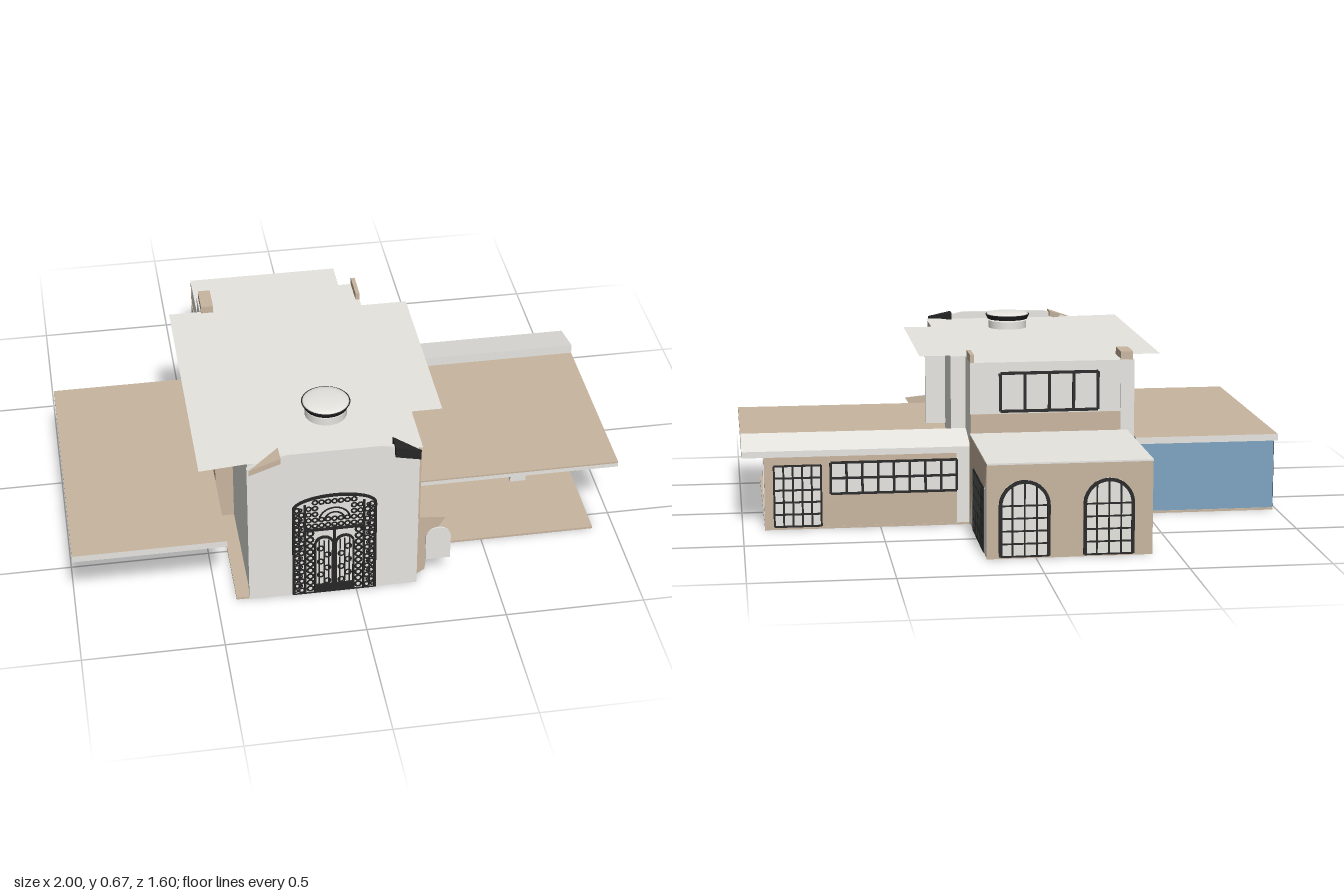
import * as THREE from 'three';

const mat = (name, color, side = THREE.FrontSide) => {
  const m = new THREE.MeshStandardMaterial({ color, side });
  m.name = name;
  return m;
};

export function createModel() {
  const white = mat('plaster white', 0xe6e5e0, THREE.DoubleSide);
  const tan = mat('stone tan', 0xc8b59f, THREE.DoubleSide);
  const dark = mat('iron black', 0x262626);
  const blue = mat('blue wall', 0x7ca4c0);
  const house = new THREE.Group();
  house.name = 'house';

  const add = (parent, name, geo, material, x = 0, y = 0, z = 0) => {
    const m = new THREE.Mesh(geo, material);
    m.name = name;
    m.position.set(x, y, z);
    parent.add(m);
    return m;
  };
  // box given by its extents
  const box = (name, material, x0, x1, y0, y1, z0, z1, parent = house) =>
    add(parent, name, new THREE.BoxGeometry(x1 - x0, y1 - y0, z1 - z0), material,
      (x0 + x1) / 2, (y0 + y1) / 2, (z0 + z1) / 2);
  const poly = pts => new THREE.Shape(pts.map(p => new THREE.Vector2(...p)));
  const plate = (shape, depth) =>
    new THREE.ExtrudeGeometry(shape, { depth, bevelEnabled: false, curveSegments: 14 });
  const place = (name, x, y, z, turn) => {
    const g = new THREE.Group();
    g.name = name;
    g.position.set(x, y, z);
    g.rotation.y = turn;
    house.add(g);
    return g;
  };
  const bars = (g, w, h, cols, rows, t) => {
    for (let i = 0; i <= cols; i++) {
      const x = -w / 2 + w * i / cols;
      box('upright', dark, x - t / 2, x + t / 2, 0, h, 0.003, 0.007, g);
    }
    for (let j = 0; j <= rows; j++) {
      const y = h * j / rows;
      box('crossbar', dark, -w / 2, w / 2, y - t / 2, y + t / 2, 0.003, 0.0065, g);
    }
  };
  // framed window, its outside facing local +z
  const gridWindow = (name, x, y, z, turn, w, h, cols, rows, t = 0.007) => {
    const g = place(name, x, y, z, turn);
    box('pane', white, -w / 2, w / 2, 0, h, 0, 0.004, g);
    bars(g, w, h, cols, rows, t);
  };
  const archShape = (w, h, rise, C = THREE.Shape) => {
    const s = new C();
    s.moveTo(-w / 2, 0);
    s.lineTo(w / 2, 0);
    s.lineTo(w / 2, h);
    s.absellipse(0, h, w / 2, rise, 0, Math.PI, false);
    s.lineTo(-w / 2, 0);
    return s;
  };
  const archFrame = (g, w, h, rise, t) => {
    const s = archShape(w, h, rise);
    s.holes.push(archShape(w - 2 * t, h, rise - t, THREE.Path));
    add(g, 'arched frame', plate(s, 0.008), dark);
  };

  // floors
  box('mainFloor', tan, -0.43, 0.22, 0, 0.008, -0.28, 0.77);
  box('leftFloor', tan, 0.22, 0.92, 0, 0.008, -0.28, 0.58);
  box('rightFloor', tan, -0.985, -0.43, 0, 0.008, -0.2, 0.24);
  box('rightTerrace', tan, -0.89, -0.43, 0, 0.008, 0.24, 0.37);
  box('rearFloor', tan, -0.41, 0.17, 0, 0.008, -0.79, -0.28);
  // tiled hall floor
  box('hallTiles', white, 0.06, 0.24, 0.008, 0.01, 0.29, 0.57);
  for (let i = 0; i < 3; i++)
    for (let j = 0; j < 4; j++)
      box('darkTile', dark, 0.09 + i * 0.055, 0.107 + i * 0.055, 0.009, 0.0115, 0.32 + j * 0.065, 0.337 + j * 0.065);

  // main hall, two storeys
  box('hallRear', white, -0.385, 0.22, 0.008, 0.29, -0.28, 0.23);
  box('hallFront', white, -0.38, 0.06, 0.008, 0.29, 0.23, 0.76);
  box('hallSideWall', white, 0.2, 0.22, 0.008, 0.29, 0.67, 0.765);
  box('stairBlock', white, 0.06, 0.12, 0.008, 0.09, 0.33, 0.58);
  box('stairBlockUpper', white, 0.06, 0.1, 0.09, 0.19, 0.33, 0.45);
  box('upperFront', white, -0.38, 0.22, 0.29, 0.6, 0.23, 0.76);
  box('upperRear', white, -0.385, 0.17, 0.29, 0.6, -0.28, 0.09);
  box('upperRearSide', white, 0.17, 0.225, 0.29, 0.6, -0.13, 0.09);
  box('balconyFloor', tan, -0.38, 0.22, 0.29, 0.33, 0.09, 0.23);
  box('balconyWall', white, 0.22, 0.3, 0.31, 0.57, 0.075, 0.09);
  box('cornerPier', white, -0.435, -0.385, 0, 0.6, -0.285, -0.19);
  box('lowerSidePier', tan, -0.445, -0.38, 0, 0.29, 0.24, 0.3);
  box('tanSidePanel', tan, 0.219, 0.225, 0.29, 0.6, 0.56, 0.775);
  box('rearSillBand', tan, -0.385, 0.17, 0.33, 0.41, -0.284, -0.279);
  gridWindow('rearUpperWindow', -0.12, 0.42, -0.281, Math.PI, 0.36, 0.14, 4, 1, 0.011);
  gridWindow('sideUpperWindow', 0.22, 0.425, 0.365, Math.PI / 2, 0.08, 0.115, 3, 4, 0.008);

  // front wall with a curved top
  const front = new THREE.Shape();
  front.moveTo(-0.385, 0);
  front.lineTo(0.22, 0);
  front.lineTo(0.22, 0.58);
  front.quadraticCurveTo(0.15, 0.62, 0.08, 0.63);
  front.lineTo(-0.24, 0.63);
  front.quadraticCurveTo(-0.32, 0.62, -0.385, 0.58);
  add(house, 'frontWall', plate(front, 0.017), white, 0, 0, 0.758);
  add(house, 'sideScreen', plate(poly([[0.22, 0.03], [0.25, 0.05], [0.26, 0.18], [0.32, 0.28], [0.22, 0.29]]), 0.006), tan, 0, 0, 0.76);
  const screen = place('archedScreen', 0.295, 0.1, 0.768, 0);
  add(screen, 'screenPlate', plate(archShape(0.09, 0.1, 0.04), 0.006), white);

  // wrought iron entrance
  const door = place('entrance', -0.08, 0.005, 0.776, 0);
  archFrame(door, 0.3, 0.385, 0.055, 0.009);
  const ring = (x, y, r, t = 0.0035) =>
    add(door, 'scroll', new THREE.TorusGeometry(r, t, 4, 10), dark, x, y, 0.004);
  const bar = (x0, x1, y0, y1) => box('ironBar', dark, x0, x1, y0, y1, 0, 0.008, door);
  for (const s of [-1, 1]) {
    bar(s * 0.105 - 0.004, s * 0.105 + 0.004, 0, 0.4);
    for (let i = 0; i < 18; i++) {
      ring(s * (0.117 + (i % 2) * 0.016), 0.015 + i * 0.0215, 0.01, 0.004);
      ring(s * (0.137 - (i % 2) * 0.016), 0.015 + i * 0.0215, 0.006, 0.003);
    }
    // arched door leaf
    const leaf = new THREE.Group();
    leaf.name = 'doorLeaf';
    leaf.position.x = s * 0.037;
    door.add(leaf);
    archFrame(leaf, 0.07, 0.22, 0.035, 0.007);
    for (const x of [-0.017, 0, 0.017]) box('rod', dark, x - 0.002, x + 0.002, 0, 0.235, 0, 0.007, leaf);
    box('kickPlate', dark, -0.033, 0.033, 0, 0.035, 0, 0.008, leaf);
    for (let i = 0; i < 6; i++) ring(s * (0.037 + (i % 2 ? 0.012 : -0.012)), 0.05 + i * 0.03, 0.011);
    for (let i = 0; i < 10; i++) ring(s * 0.086, 0.02 + i * 0.028, 0.011, 0.004);
  }
  bar(-0.004, 0.004, 0, 0.3);
  bar(-0.105, 0.105, 0.283, 0.291);
  for (let j = 0; j < 5; j++)
    for (let i = -4; i <= 4; i++)
      if (Math.abs(i) < 5 - j * 0.3 && (j > 3 || j < 2 || Math.abs(i) > 2))
        ring(i * 0.023, 0.305 + j * 0.026, 0.009, 0.0035);
  for (const r of [0.035, 0.055])
    add(door, 'fanArch', new THREE.TorusGeometry(r, 0.0035, 4, 16, Math.PI), dark, 0, 0.325, 0.004);

  // main roof sheet with overhang
  const roof = new THREE.ShapeGeometry(poly([[-0.55, 0.18], [-0.42, 0.18], [-0.42, 0.28], [0.17, 0.28], [0.17, 0.13],
    [0.34, 0.13], [0.34, -0.56], [0.23, -0.56], [0.23, -0.77], [-0.39, -0.77], [-0.55, -0.785]]));
  roof.rotateX(-Math.PI / 2);
  add(house, 'mainRoof', roof, white, 0, 0.603, 0);
  box('rearParapetRight', tan, -0.43, -0.385, 0.585, 0.63, -0.28, -0.17);
  box('rearParapetLeft', tan, 0.155, 0.17, 0.6, 0.63, -0.28, -0.17);
  // triangular cornice pieces, sloping beside the curved front
  const cornice = (name, material, pts, depth, y, slope) => {
    const g = plate(poly(pts), depth);
    g.rotateX(-Math.PI / 2);
    const p = g.attributes.position;
    for (let i = 0; i < p.count; i++) p.setY(i, p.getY(i) + slope * (p.getX(i) - pts[0][0]));
    g.computeVertexNormals();
    add(house, name, g, material, 0, y, 0);
  };
  cornice('corniceRight', tan, [[-0.38, -0.795], [-0.27, -0.795], [-0.27, -0.73]], 0.022, 0.57, 0.36);
  cornice('corniceLeft', dark, [[0.13, -0.73], [0.13, -0.795], [0.22, -0.795]], 0.04, 0.59, -0.22);

  // round skylight
  add(house, 'skylightBase', new THREE.CylinderGeometry(0.075, 0.075, 0.03, 28), white, -0.07, 0.617, 0.52);
  add(house, 'skylightRim', new THREE.CylinderGeometry(0.087, 0.078, 0.018, 28), dark, -0.07, 0.647, 0.52);
  const dome = new THREE.SphereGeometry(0.083, 28, 6, 0, Math.PI * 2, 0, Math.PI / 2);
  dome.scale(1, 0.13, 1);
  add(house, 'skylightDome', dome, white, -0.07, 0.6565, 0.52);

  // left wing (+x) with an open porch at its end
  box('leftRoom', white, 0.22, 0.75, 0.008, 0.275, -0.26, 0.23);
  box('leftRoomStep', white, 0.68, 0.74, 0.008, 0.09, 0.22, 0.27);
  box('leftRearWall', tan, 0.2, 0.92, 0.008, 0.285, -0.278, -0.262);
  box('leftRearLining', white, 0.75, 0.91, 0.008, 0.285, -0.262, -0.257);
  box('leftRoof', white, 0.22, 1, 0.272, 0.288, -0.13, 0.57);
  box('leftRoofTop', tan, 0.22, 1, 0.288, 0.294, -0.13, 0.57);
  const eave = plate(poly([[0.13, 0.27], [0.285, 0.27], [0.285, 0.293], [0.13, 0.33]]), 0.83);
  eave.rotateY(Math.PI / 2);
  add(house, 'leftRearEave', eave, white, 0.17, 0, 0);
  box('leftEndPanel', dark, 0.9, 0.915, 0.01, 0.28, -0.27, -0.05);
  box('leftEndPost', white, 0.89, 0.92, 0.008, 0.275, -0.05, -0.03);
  gridWindow('terraceDoorRear', 0.8, 0.012, -0.278, Math.PI, 0.17, 0.225, 5, 5);
  gridWindow('terraceDoorInner', 0.835, 0.012, -0.256, 0, 0.09, 0.22, 3, 5, 0.008);
  gridWindow('rearWindowBand', 0.45, 0.13, -0.278, Math.PI, 0.46, 0.115, 8, 2, 0.009);

  // right wing (-x)
  box('rightRoom', white, -0.98, -0.46, 0.008, 0.265, -0.19, 0.23);
  box('blueRearWall', blue, -0.985, -0.46, 0.008, 0.265, -0.195, -0.19);
  box('rightEndPier', tan, -0.99, -0.97, 0.008, 0.265, 0.225, 0.236);
  const rightRoof = box('rightRoof', white, -1, -0.46, 0.265, 0.29, -0.197, 0.79);
  rightRoof.material = [white, tan, tan, white, white, white];
  gridWindow('rightEndWindow', -0.981, 0.01, 0.02, -Math.PI / 2, 0.41, 0.25, 10, 6);

  // rear wing (-z)
  box('rearWing', white, -0.408, 0.17, 0.008, 0.334, -0.785, -0.28);
  box('rearWingRoof', white, -0.41, 0.172, 0.334, 0.34, -0.8, -0.28);
  box('rearWingEndWall', tan, -0.41, 0.172, 0, 0.334, -0.792, -0.785);
  for (const x of [0.04, -0.255]) {
    const g = place('archedWindow', x, 0.008, -0.792, Math.PI);
    add(g, 'pane', plate(archShape(0.18, 0.18, 0.09), 0.004), white);
    archFrame(g, 0.18, 0.18, 0.09, 0.012);
    bars(g, 0.17, 0.18, 4, 4, 0.006);
    for (const u of [-0.0425, 0, 0.0425]) box('fanBar', dark, u - 0.003, u + 0.003, 0.18, u ? 0.255 : 0.265, 0.003, 0.007, g);
  }
  const sideTrim = plate(poly([[0.28, 0], [0.41, 0.24], [0.73, 0.24], [0.798, 0.338], [0.28, 0.338]]), 0.003);
  sideTrim.rotateY(Math.PI / 2);
  add(house, 'rearWingSideTrim', sideTrim, tan, 0.17, 0, 0);
  gridWindow('rearWingSideWindow', 0.17, 0.012, -0.575, Math.PI / 2, 0.31, 0.225, 8, 5);
  for (const z of [-0.73, -0.6525, -0.575, -0.4975, -0.42])
    box('doorPost', dark, 0.172, 0.178, 0.012, 0.237, z - 0.006, z + 0.006);
  box('rearWingTanCorner', tan, -0.411, -0.407, 0.008, 0.24, -0.785, -0.7);
  box('rearWingLedge', white, -0.414, -0.407, 0.03, 0.13, -0.62, -0.48);
  gridWindow('rearWingNarrowWindow', -0.408, 0.12, -0.34, -Math.PI / 2, 0.05, 0.13, 2, 3);
  return house;
}
